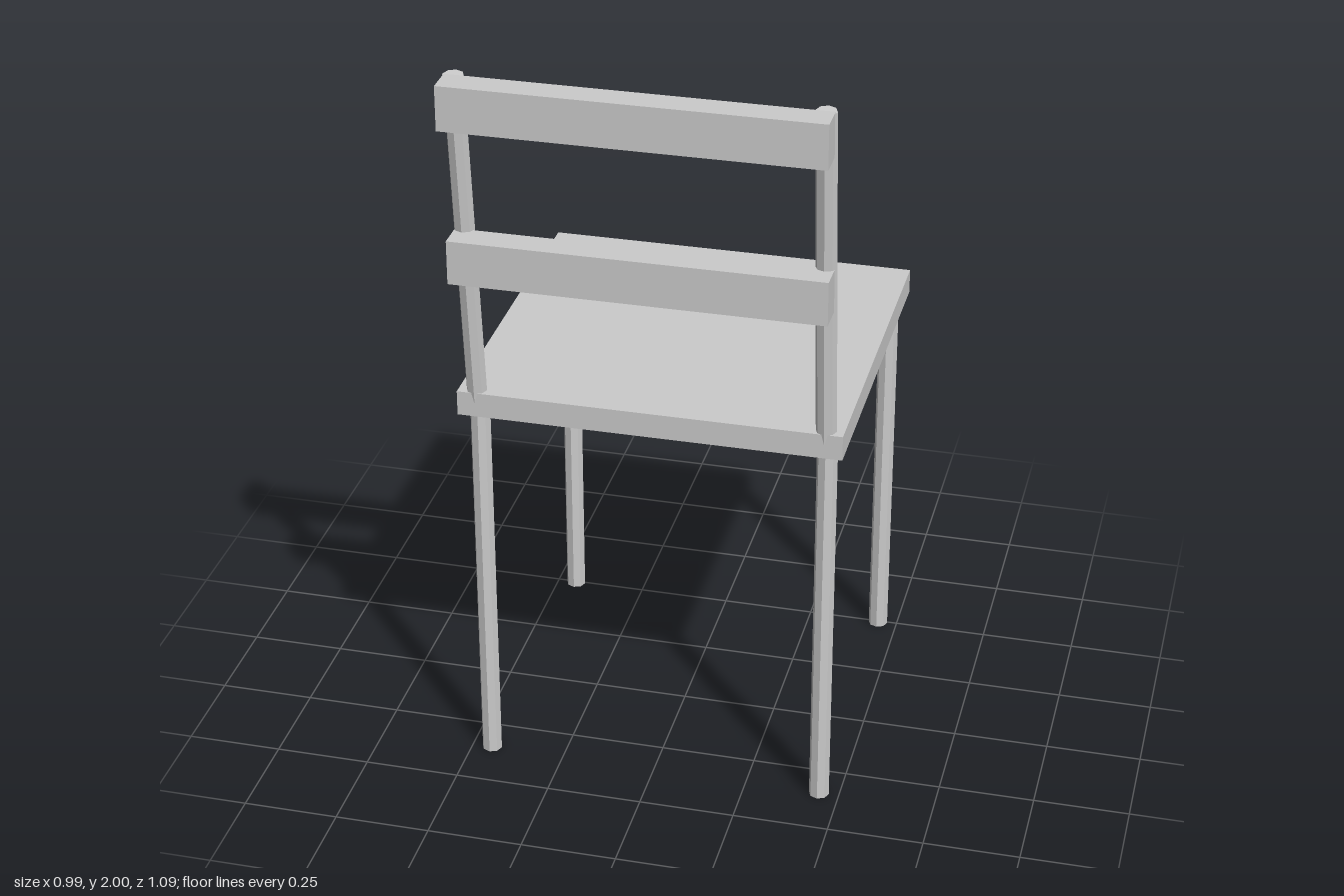
import * as THREE from 'three';

const UP = new THREE.Vector3(0, 1, 0);

export function createModel() {
  const chair = new THREE.Group();
  chair.name = 'chair';
  const material = new THREE.MeshStandardMaterial({ color: 0xcccccc, flatShading: true });

  // Axis-aligned board given by its size and centre
  const board = (name, w, h, d, y, z) => {
    const mesh = new THREE.Mesh(new THREE.BoxGeometry(w, h, d), material);
    mesh.name = name;
    mesh.position.set(0, y, z);
    chair.add(mesh);
  };

  // Eight-sided rod between two points
  const rod = (name, from, to) => {
    const dir = to.clone().sub(from);
    const mesh = new THREE.Mesh(new THREE.CylinderGeometry(0.0265, 0.0265, dir.length(), 8), material);
    mesh.name = name;
    mesh.position.copy(from).add(to).multiplyScalar(0.5);
    mesh.quaternion.setFromUnitVectors(UP, dir.normalize());
    chair.add(mesh);
  };

  board('seat', 0.986, 0.066, 0.939, 1.072, -0.0745);

  for (const [side, x] of [['left', 0.447], ['right', -0.447]]) {
    // Straight legs under the seat
    for (const [end, z] of [['Front', 0.35], ['Back', -0.495]]) {
      rod(`${side}${end}Leg`, new THREE.Vector3(x, 0, z), new THREE.Vector3(x, 1.045, z));
    }
    // Leaning backrest post, sunk a little into the seat
    rod(`${side}Post`, new THREE.Vector3(x, 1.08, 0.369), new THREE.Vector3(x, 1.997, 0.467));
  }

  // Backrest slats on the outer face of the posts
  board('lowerSlat', 0.938, 0.115, 0.075, 1.52, 0.467);
  board('upperSlat', 0.938, 0.115, 0.075, 1.941, 0.507);

  return chair;
}
